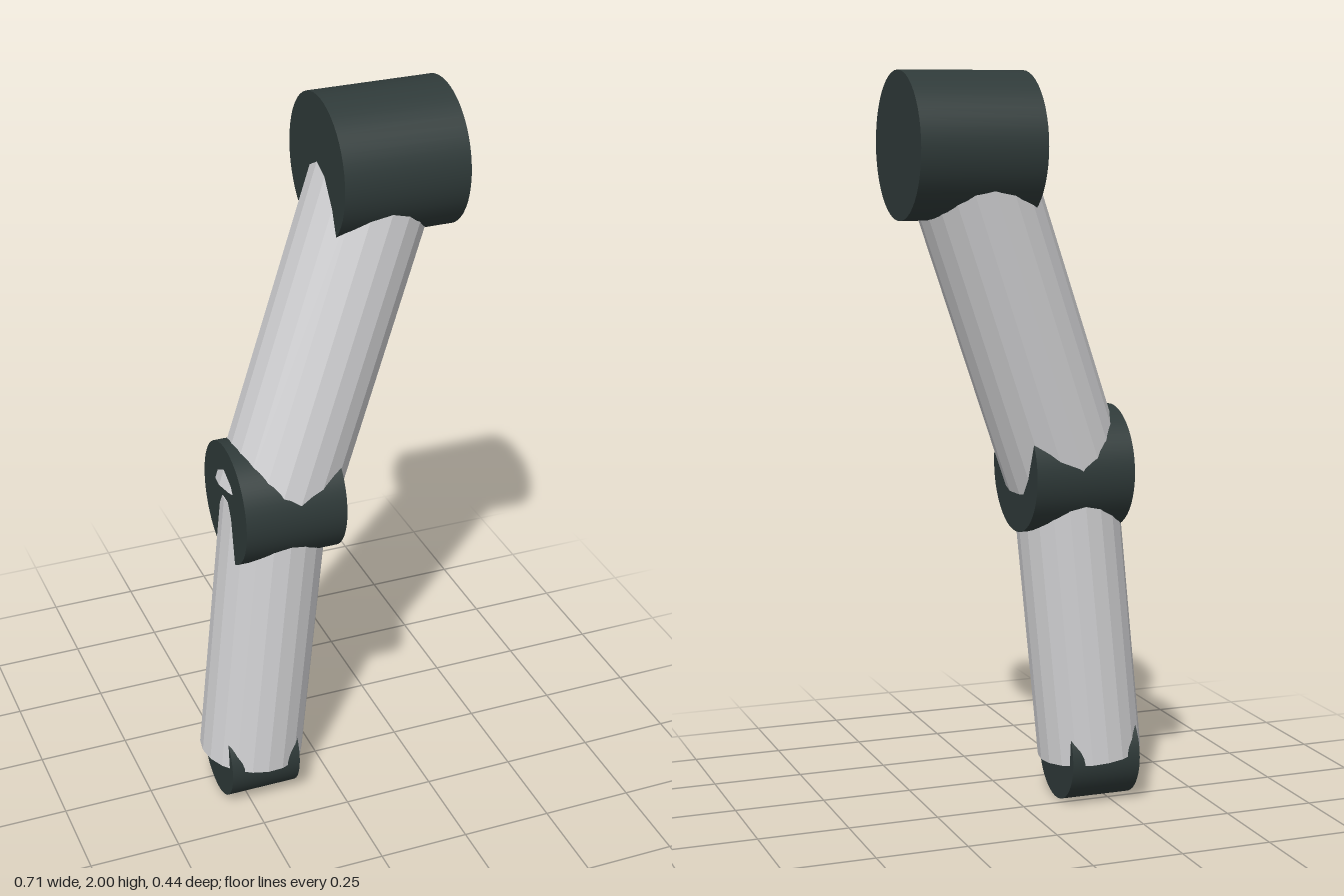
import * as THREE from 'three';

export function createModel() {
  const model = new THREE.Group();
  model.name = 'jointedArm';

  const jointMaterial = new THREE.MeshStandardMaterial({ color: 0x2f3a39 });
  jointMaterial.name = 'dark green grey';
  const limbMaterial = new THREE.MeshStandardMaterial({ color: 0xd2d2d4, flatShading: true });
  limbMaterial.name = 'light grey';

  // Joint centres, from the foot to the shoulder
  const ankle = new THREE.Vector3(-0.215, 0.1275, 0.051);
  const knee = new THREE.Vector3(-0.135, 0.933, 0.051);
  const hip = new THREE.Vector3(0.185, 1.808, -0.03);

  // Smooth drum lying along x
  function addJoint(name, centre, radius, width) {
    const geometry = new THREE.CylinderGeometry(radius, radius, width, 48);
    geometry.rotateZ(Math.PI / 2);
    const mesh = new THREE.Mesh(geometry, jointMaterial);
    mesh.name = name;
    mesh.position.copy(centre);
    model.add(mesh);
  }

  // Faceted tube running from one joint centre to the next
  function addLimb(name, from, to, radius) {
    const axis = to.clone().sub(from);
    const geometry = new THREE.CylinderGeometry(radius, radius, axis.length(), 20);
    const mesh = new THREE.Mesh(geometry, limbMaterial);
    mesh.name = name;
    mesh.position.copy(from).add(to).multiplyScalar(0.5);
    mesh.quaternion.setFromUnitVectors(new THREE.Vector3(0, 1, 0), axis.normalize());
    model.add(mesh);
  }

  addJoint('lowerJoint', ankle, 0.1275, 0.198);
  addJoint('middleJoint', knee, 0.168, 0.28);
  addJoint('upperJoint', hip, 0.192, 0.34);
  addLimb('lowerLimb', ankle, knee, 0.144);
  addLimb('upperLimb', knee, hip, 0.165);

  return model;
}
